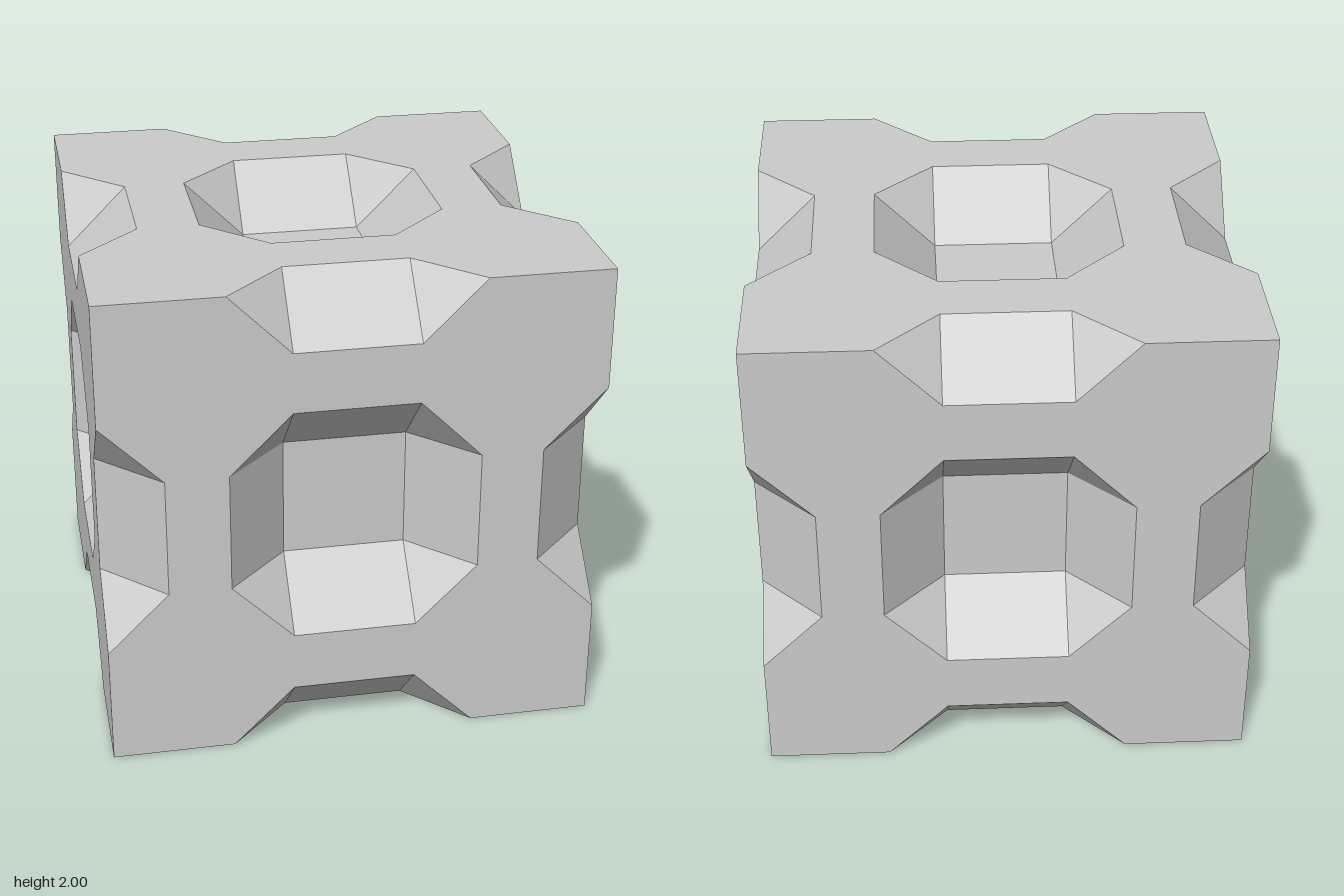
import * as THREE from 'three';

const IN = 0.25, OUT = 0.5;
const material = new THREE.MeshStandardMaterial({ color: 0xcccccc, flatShading: true });

// Flat facets from convex polygons, counter-clockwise seen from outside
function facets(polygons) {
  const points = [];
  for (const p of polygons)
    for (let i = 1; i < p.length - 1; i++) points.push(...p[0], ...p[i], ...p[i + 1]);
  const g = new THREE.BufferGeometry();
  g.setAttribute('position', new THREE.Float32BufferAttribute(points, 3));
  g.computeVertexNormals();
  return g;
}

// Square face with a notch in each side and an octagonal opening
function faceGeometry() {
  const outline = [], opening = [];
  for (let i = 0; i < 4; i++) {
    const turn = ([x, y]) => new THREE.Vector2(x, y).rotateAround(new THREE.Vector2(), i * Math.PI / 2);
    outline.push(...[[1, -1], [1, -OUT], [1 - IN, -IN], [1 - IN, IN], [1, OUT]].map(turn));
    opening.push(...[[OUT, -IN], [OUT, IN]].map(turn));
  }
  const shape = new THREE.Shape(outline);
  shape.holes.push(new THREE.Path(opening));
  return new THREE.ShapeGeometry(shape).translate(0, 0, 1);
}

// Bevelled pit behind the octagonal opening
function pitGeometry() {
  const d = 1 - IN;
  const polygons = [[[-IN, -IN, d], [IN, -IN, d], [IN, IN, d], [-IN, IN, d]]];
  const walls = [
    [[OUT, -IN, 1], [OUT, IN, 1], [IN, IN, d], [IN, -IN, d]],
    [[OUT, IN, 1], [IN, OUT, 1], [IN, IN, d]],
  ];
  for (let i = 0; i < 4; i++) {
    const c = [1, 0, -1, 0][i], s = [0, 1, 0, -1][i];
    for (const w of walls) polygons.push(w.map(([x, y, z]) => [c * x - s * y, s * x + c * y, z]));
  }
  return facets(polygons);
}

// Chamfered notch halfway along the upright edge at x = z = 1
function notchGeometry() {
  const d = 1 - IN;
  return facets([
    [[d, -IN, 1], [1, -IN, d], [1, IN, d], [d, IN, 1]],
    [[d, IN, 1], [1, IN, d], [1, OUT, 1]],
    [[1, -IN, d], [d, -IN, 1], [1, -OUT, 1]],
  ]);
}

export function createModel() {
  const model = new THREE.Group();
  model.name = 'notchedCube';
  const face = faceGeometry(), pit = pitGeometry(), notch = notchGeometry();
  const diagonal = new THREE.Vector3(1, 1, 1).normalize();
  const up = new THREE.Vector3(0, 1, 0);

  // Turn each part about y, then cycle the three axes
  const add = (geometry, name, cycle, quarter) => {
    const mesh = new THREE.Mesh(geometry, material);
    mesh.name = name;
    mesh.quaternion.setFromAxisAngle(diagonal, cycle * 2 * Math.PI / 3)
      .multiply(new THREE.Quaternion().setFromAxisAngle(up, quarter * Math.PI / 2));
    mesh.position.y = 1;
    model.add(mesh);
  };
  for (let cycle = 0; cycle < 3; cycle++) {
    for (let quarter = 0; quarter < 4; quarter++) add(notch, 'edgeNotch', cycle, quarter);
    for (const quarter of [0, 2]) {
      add(face, 'face', cycle, quarter);
      add(pit, 'facePit', cycle, quarter);
    }
  }
  return model;
}
